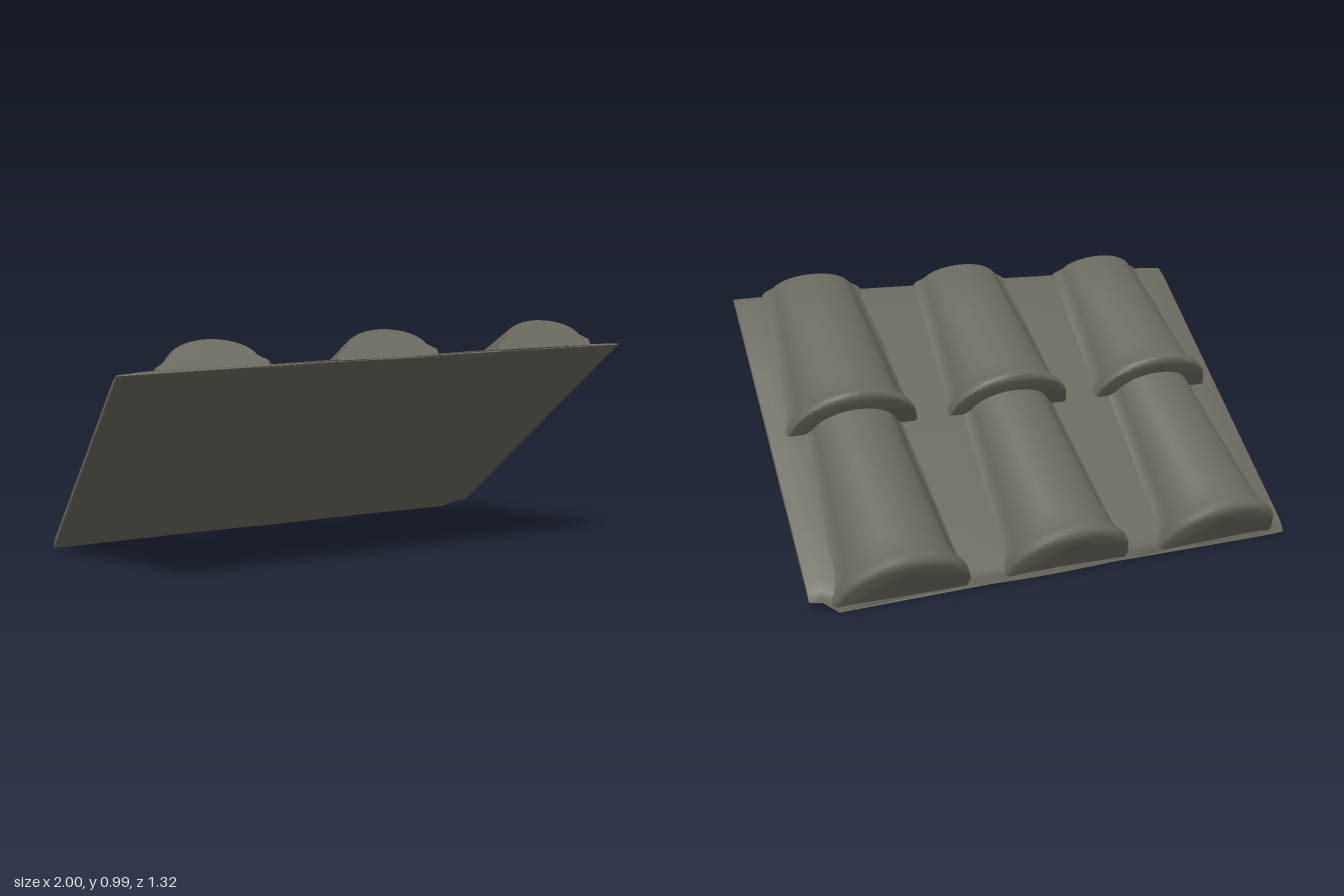
import * as THREE from 'three';
import { toCreasedNormals } from 'three/addons/utils/BufferGeometryUtils.js';

// Closed loft through rings of [x, height, distance down the slope], with domed or flat caps
function loft(rings, endDish = 0) {
  const n = rings[0].length, pos = [], idx = [];
  rings.forEach(r => r.forEach(([x, h, s]) => pos.push(x, h, -s)));
  for (let i = 0; i < rings.length - 1; i++) {
    for (let j = 0; j < n; j++) {
      const a = i * n + j, b = i * n + (j + 1) % n, c = b + n, d = a + n;
      idx.push(a, d, b, b, d, c);
    }
  }
  const cap = (start, ring, reverse, dish) => {
    const mid = [0, 1, 2].map(k => ring.reduce((t, p) => t + p[k], 0) / n);
    const centre = pos.length / 3;
    pos.push(mid[0], mid[1], -mid[2] + dish);
    for (let j = 0; j < n; j++) {
      const a = start + j, b = start + (j + 1) % n;
      if (reverse) idx.push(centre, b, a); else idx.push(centre, a, b);
    }
  };
  cap(0, rings[0], false, 0);
  cap((rings.length - 1) * n, rings[rings.length - 1], true, endDish);
  const g = new THREE.BufferGeometry();
  g.setAttribute('position', new THREE.Float32BufferAttribute(pos, 3));
  g.setIndex(idx);
  return toCreasedNormals(g, 0.75);
}

// Half-round tile section with a concave foot running into the plate
function tileRing(s, w, h, flare) {
  const foot = 0.03, right = [[w + flare, 0.004], [w + flare, foot], [w + flare * 0.4, foot + 0.012]];
  const ring = right.map(([x, y]) => [x, y, s]);
  const steps = 24;
  for (let i = 2; i <= steps - 2; i++) {
    const t = i / steps * Math.PI;
    ring.push([w * Math.cos(t), foot + (h - foot) * Math.sin(t), s]);
  }
  right.slice().reverse().forEach(([x, y]) => ring.push([-x, y, s]));
  return ring;
}

// Rows of [distance, half width, height, foot flare], each ending in a rolled lip
const upperRow = [
  [0, 0.165, 0.122, 0.03], [0.015, 0.172, 0.132, 0.035], [0.3, 0.192, 0.171, 0.045], [0.62, 0.216, 0.213, 0.04],
  [0.665, 0.224, 0.22, 0.035], [0.69, 0.24, 0.232, 0.025], [0.708, 0.253, 0.242, 0.014],
  [0.724, 0.257, 0.244, 0.01], [0.735, 0.253, 0.236, 0.008], [0.74, 0.24, 0.215, 0.006]
];
const lowerRow = [
  [0.69, 0.172, 0.158, 0.035], [0.95, 0.185, 0.186, 0.045], [1.33, 0.212, 0.222, 0.045],
  [1.395, 0.222, 0.229, 0.038], [1.425, 0.236, 0.237, 0.026], [1.448, 0.25, 0.246, 0.014],
  [1.464, 0.252, 0.243, 0.01], [1.475, 0.246, 0.23, 0.008], [1.482, 0.236, 0.212, 0.006]
];

// Thin base plate with slightly uneven edges and thickness
function plateGeometry() {
  const rows = [[0, 0.01], [0.02, 0.022], [0.06, 0.034], [0.4, 0.036], [0.8, 0.038],
    [1.2, 0.04], [1.41, 0.042], [1.455, 0.038], [1.48, 0.022], [1.494, 0.004]];
  const cols = 40;
  return loft(rows.map(([d, t]) => {
    const k = d / 1.494, left = -1 + 0.035 * k, right = 0.98 + 0.02 * k;
    const along = x => {
      const start = 0.018 - 0.018 * x + 0.003 * Math.sin(9 * x);
      const corner = 0.06 * THREE.MathUtils.smoothstep(x, 0.9, 0.97);
      const end = 1.49 + 0.004 * Math.sin(7 * x + 1) - corner;
      return start + (end - start) * k;
    };
    const ring = [[right, 0, along(right)]];
    for (let i = 0; i <= cols; i++) {
      const u = i / cols, x = right + (left - right) * u;
      const edge = Math.min(1, 0.45 + 12 * Math.min(u, 1 - u));
      ring.push([x, t * edge, along(x)]);
    }
    ring.push([left, 0, along(left)]);
    for (let i = 1; i < cols; i++) {
      const x = left + (right - left) * i / cols;
      ring.push([x, 0, along(x)]);
    }
    return ring;
  }));
}

export function createModel() {
  const clay = new THREE.MeshStandardMaterial({ color: 0x6a685d });
  clay.name = 'grey clay';

  // Pitched panel, high at the front and low at the back
  const panel = new THREE.Group();
  panel.name = 'pitchedPanel';
  panel.position.set(0, 0.89, 0.66);
  panel.rotation.x = -0.638;

  const add = (name, geometry, x = 0) => {
    const mesh = new THREE.Mesh(geometry, clay);
    mesh.name = name;
    mesh.position.x = x;
    panel.add(mesh);
  };
  add('basePlate', plateGeometry());

  // Three columns of two overlapping tiles
  [[-0.655, 0.032], [0, 0.016], [0.655, 0]].forEach(([x, shift], c) => {
    const upper = upperRow.map(([s, w, h, f]) => tileRing(s + shift * Math.max(0, 1 - s / 0.3), w, h, f));
    const lower = lowerRow.map(([s, w, h, f]) => tileRing(s, w, h, f));
    add(`upperTile${c + 1}`, loft(upper), x + 0.002);
    add(`lowerTile${c + 1}`, loft(lower, 0.012), x + 0.005);
  });

  const model = new THREE.Group();
  model.name = 'roofTiles';
  model.add(panel);
  return model;
}
